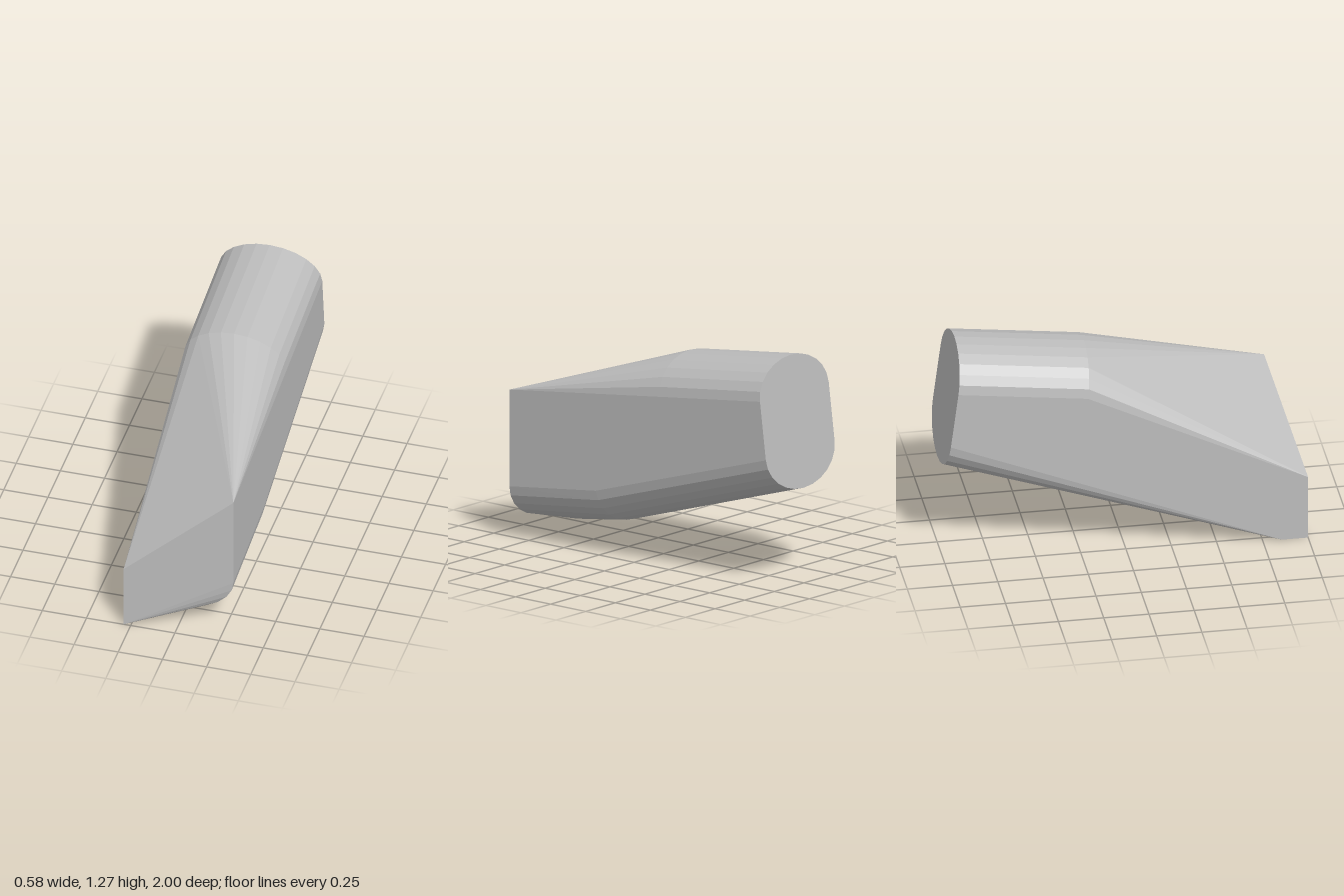
import * as THREE from 'three';
import { ConvexGeometry } from 'three/addons/geometries/ConvexGeometry.js';

const HALF_WIDTH = 0.29; // half the body width
const ROUND = 0.205;     // height of the rounded top and bottom

// Elliptical arc in 15 degree steps; zAt gives z from y on a tilted plane
function arc(yMid, fromStep, toStep, zAt) {
  const points = [];
  for (let i = fromStep; i <= toStep; i++) {
    const a = (i * Math.PI) / 12;
    const y = yMid + ROUND * Math.sin(a);
    points.push(new THREE.Vector3(HALF_WIDTH * Math.cos(a), y, zAt(y)));
  }
  return points;
}

export function createModel() {
  const group = new THREE.Group();
  group.name = 'bevelledBar';

  const grey = new THREE.MeshStandardMaterial({ color: 0xbcbcbc });
  grey.name = 'grey';

  const backPlane = (y) => -0.905 - (1.267 - y) * 0.13;
  const points = [
    // rounded back end
    ...arc(1.062, 0, 12, backPlane),
    ...arc(0.74, 12, 24, backPlane),
    // bend across the top
    ...arc(0.973, 0, 12, (y) => -0.19 - (1.178 - y) * 0.13),
    // bend under the left half
    ...arc(0.37, -6, 0, (y) => 0.2 + (y - 0.165) * 0.2),
    // rounded lower corner of the front
    ...arc(0.295, -4, 0, () => 0.855),
    // slanted front edges
    new THREE.Vector3(HALF_WIDTH, 0.838, 0.855),
    new THREE.Vector3(-HALF_WIDTH, 0.375, 1),
    new THREE.Vector3(-HALF_WIDTH, 0, 1),
    new THREE.Vector3(-HALF_WIDTH, 0, 0.855),
  ];

  // all sides bulge outward, so the body is the hull of its sections
  const body = new THREE.Mesh(new ConvexGeometry(points), grey);
  body.name = 'body';
  group.add(body);
  return group;
}
